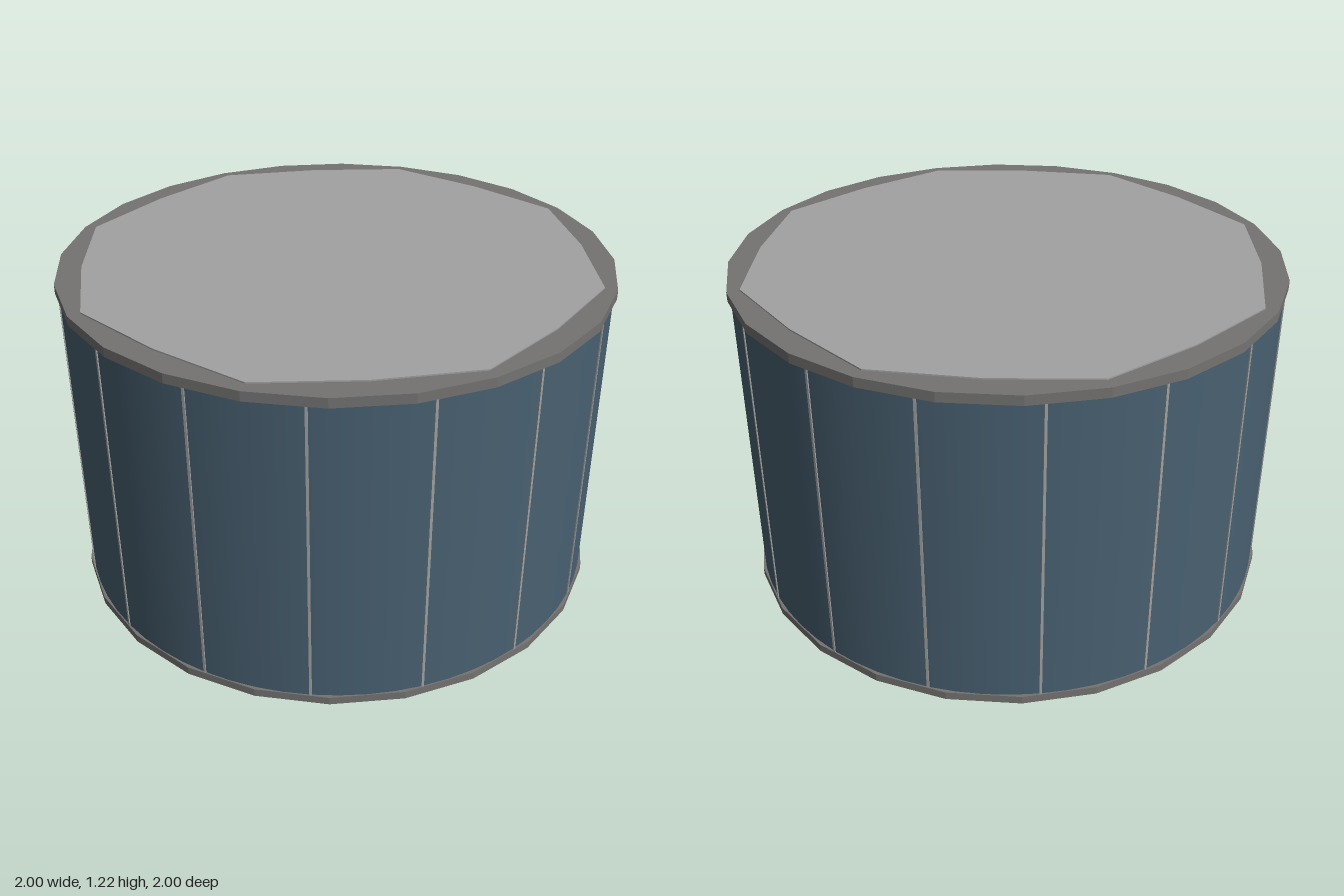
import * as THREE from 'three';

const TAU = Math.PI * 2;

// Points of a polygon whose radii repeat round the circle
function polygon(sides, ...radii) {
  return Array.from({ length: sides }, (_, i) => {
    const a = (i / sides) * TAU, r = radii[i % radii.length];
    return new THREE.Vector2(r * Math.cos(a), r * Math.sin(a));
  });
}

// Upright prism from y0 to y1, with an optional hole
function prism(outline, y0, y1, hole) {
  const shape = new THREE.Shape(outline);
  if (hole) shape.holes.push(new THREE.Path(hole));
  const g = new THREE.ExtrudeGeometry(shape, { depth: y1 - y0, bevelEnabled: false });
  return g.rotateX(-Math.PI / 2).translate(0, y0, 0);
}

export function createModel() {
  const model = new THREE.Group();
  const material = (name, color) => {
    const m = new THREE.MeshStandardMaterial({ color });
    m.name = name;
    return m;
  };
  const lightGrey = material('light grey', 0xa2a2a2);
  const darkGrey = material('dark grey', 0x747372);
  const glassBlue = material('glass blue', 0x486071);

  const add = (name, geometry, mat, parent = model) => {
    const mesh = new THREE.Mesh(geometry, mat);
    mesh.name = name;
    parent.add(mesh);
    return mesh;
  };

  const octagon = polygon(8, 0.92);

  // Bands at the foot and the roof edge
  add('bottomBand', prism(polygon(24, 1), 0, 0.03, octagon), darkGrey);
  add('topBand', prism(polygon(24, 1), 1.18, 1.215), darkGrey);
  add('roofPanel', prism(polygon(16, 0.955, 0.908), 1.213, 1.22), lightGrey);

  // Smooth glass skin around an eight-sided inner wall
  const glass = new THREE.CylinderGeometry(0.988, 0.988, 1.15, 64, 1, true);
  add('glassWall', glass.translate(0, 0.605, 0), glassBlue);
  add('innerWall', prism(polygon(48, 0.97), 0.03, 1.18, octagon), lightGrey);

  // Thin upright bars between the panes
  const mullions = new THREE.Group();
  mullions.name = 'mullions';
  model.add(mullions);
  for (let i = 0; i < 16; i++) {
    const a = ((i + 0.5) / 16) * TAU;
    const bar = add('mullion', new THREE.BoxGeometry(0.009, 1.15, 0.012), lightGrey, mullions);
    bar.position.set(0.986 * Math.sin(a), 0.605, 0.986 * Math.cos(a));
    bar.rotation.y = a;
  }

  // Narrow strips in the corners of the inner wall
  const strips = new THREE.Group();
  strips.name = 'cornerStrips';
  model.add(strips);
  for (let i = 0; i < 8; i++) {
    const a = (i / 8) * TAU;
    const strip = add('cornerStrip', new THREE.BoxGeometry(0.04, 1.15, 0.02), darkGrey, strips);
    strip.position.set(0.91 * Math.sin(a), 0.605, 0.91 * Math.cos(a));
    strip.rotation.y = a;
  }

  // Bowl-shaped ceiling with a flat dark underside
  const bowl = [[0.44, 0.42], [0.65, 0.55], [0.8, 0.7], [0.9, 0.84], [0.92, 1.18]];
  add('ceilingBowl', new THREE.LatheGeometry(bowl.map(p => new THREE.Vector2(...p)), 32), lightGrey);
  add('ceilingDisc', new THREE.CircleGeometry(0.44, 32).rotateX(Math.PI / 2).translate(0, 0.42, 0), darkGrey);

  return model;
}
